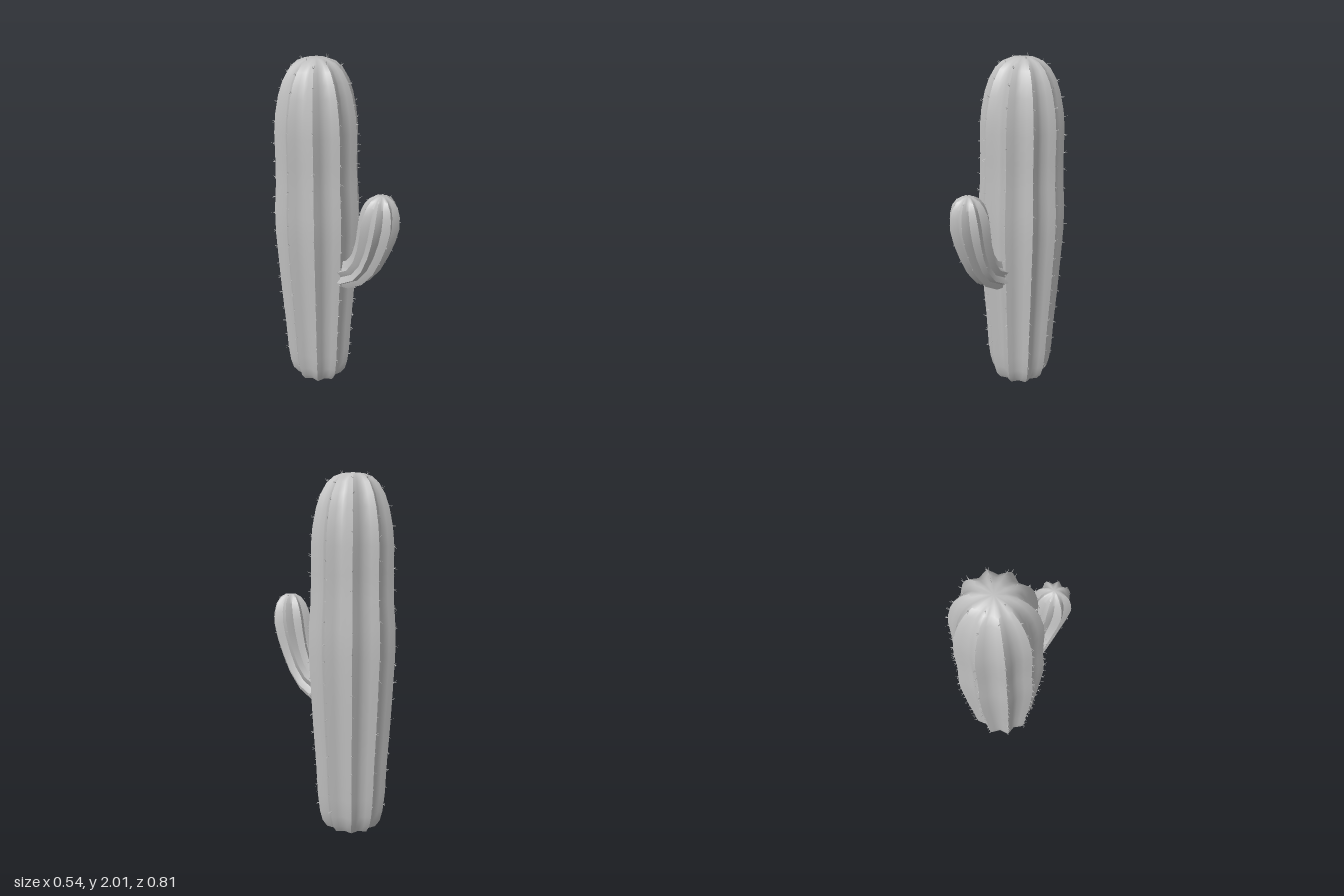
import * as THREE from 'three';
import { mergeGeometries, toCreasedNormals } from 'three/addons/utils/BufferGeometryUtils.js';

const STEPS = 4; // samples across one rib: crest, flank, valley, flank

// Cross-sections along a stem: [z, y, crest radius]
const TRUNK = [
  [-0.145, 0, 0], [-0.145, 0.002, 0.145], [-0.145, 0.04, 0.172], [-0.145, 0.1, 0.188],
  [-0.145, 0.2, 0.2], [-0.145, 0.4, 0.211], [-0.145, 0.6, 0.226], [-0.145, 0.8, 0.238],
  [-0.145, 1.0, 0.249], [-0.145, 1.15, 0.249], [-0.145, 1.3, 0.238], [-0.145, 1.45, 0.235],
  [-0.145, 1.6, 0.235], [-0.145, 1.7, 0.226], [-0.145, 1.8, 0.206], [-0.145, 1.87, 0.182],
  [-0.145, 1.93, 0.147], [-0.145, 1.965, 0.108], [-0.145, 1.983, 0.06], [-0.145, 1.984, 0],
];
const ARM = [
  [0.0, 0.765, 0.085], [0.08, 0.78, 0.09], [0.155, 0.822, 0.088], [0.21, 0.895, 0.092],
  [0.25, 0.99, 0.1], [0.276, 1.08, 0.11], [0.292, 1.16, 0.115], [0.299, 1.22, 0.106],
  [0.302, 1.265, 0.09], [0.302, 1.3, 0.064], [0.302, 1.318, 0.032], [0.302, 1.32, 0],
];

function seeded(seed) {
  return () => {
    seed = (seed * 16807) % 2147483647;
    return seed / 2147483647;
  };
}

// Point on a stem ring; the ring is square to the path, which lies in the yz plane
function ringPoint(rings, i, angle, scale) {
  const a = rings[Math.max(i - 1, 0)], b = rings[Math.min(i + 1, rings.length - 1)];
  const length = Math.hypot(b[0] - a[0], b[1] - a[1]);
  const tz = (b[0] - a[0]) / length, ty = (b[1] - a[1]) / length;
  const [z, y, radius] = rings[i];
  const r = radius * scale, s = Math.sin(angle) * r;
  return new THREE.Vector3(Math.cos(angle) * r, y - tz * s, z + ty * s);
}

// Star-shaped sweep with sharp crests and soft valleys
function ribbedStem(rings, ribs, valley, offset) {
  const sides = ribs * STEPS;
  const scales = [1, 1 - (1 - valley) * 0.58, valley, 1 - (1 - valley) * 0.58];
  const positions = [], index = [];
  rings.forEach((ring, i) => {
    for (let j = 0; j < sides; j++) {
      const angle = offset + (j / sides) * Math.PI * 2;
      positions.push(...ringPoint(rings, i, angle, scales[j % STEPS]).toArray());
    }
  });
  for (let i = 0; i < rings.length - 1; i++) {
    for (let j = 0; j < sides; j++) {
      const k = (j + 1) % sides;
      const a = i * sides + j, c = i * sides + k, b = a + sides, d = c + sides;
      if (rings[i][2] > 0) index.push(a, b, c);
      if (rings[i + 1][2] > 0) index.push(c, b, d);
    }
  }
  const geometry = new THREE.BufferGeometry();
  geometry.setAttribute('position', new THREE.Float32BufferAttribute(positions, 3));
  geometry.setIndex(index);
  return toCreasedNormals(geometry, 0.95);
}

// Clusters of tiny thorns spaced along every crest
function thorns(rings, ribs, offset, first, spacing, size, random) {
  const cones = [], up = new THREE.Vector3(0, 1, 0);
  for (let k = 0; k < ribs; k++) {
    const angle = offset + (k / ribs) * Math.PI * 2;
    let next = spacing * (0.3 + random() * 0.7);
    for (let i = first; i < rings.length - 2; i++) {
      const p = ringPoint(rings, i, angle, 1), q = ringPoint(rings, i + 1, angle, 1);
      const along = q.clone().sub(p), length = along.length();
      const [z, y] = rings[i];
      const out = p.clone().sub(new THREE.Vector3(0, y, z)).normalize();
      along.normalize();
      out.addScaledVector(along, -out.dot(along)).normalize(); // square to the crest
      while (next < length) {
        const root = p.clone().addScaledVector(along, next);
        for (let n = 0; n < 3; n++) {
          const dir = out.clone().add(new THREE.Vector3(
            random() - 0.5, random() - 0.5, random() - 0.5).multiplyScalar(1.3)).normalize();
          const tall = size * (0.7 + random() * 0.6);
          const cone = new THREE.ConeGeometry(size * 0.09, tall, 4, 1, true);
          cone.translate(0, tall * 0.4, 0);
          cone.applyQuaternion(new THREE.Quaternion().setFromUnitVectors(up, dir));
          cone.translate(root.x, root.y, root.z);
          cones.push(cone);
        }
        next += spacing * (0.85 + random() * 0.3);
      }
      next -= length;
    }
  }
  return mergeGeometries(cones);
}

export function createModel() {
  const group = new THREE.Group();
  group.name = 'cactus';
  const skin = new THREE.MeshStandardMaterial({ color: 0xbfbfbf });
  skin.name = 'light grey';
  const random = seeded(71);

  const add = (name, geometry) => {
    const mesh = new THREE.Mesh(geometry, skin);
    mesh.name = name;
    group.add(mesh);
  };

  // Tall ten-ribbed trunk
  add('trunk', ribbedStem(TRUNK, 10, 0.83, 0));
  add('trunkThorns', thorns(TRUNK, 10, 0, 3, 0.105, 0.022, random));

  // Eight-ribbed arm curving up in front
  add('arm', ribbedStem(ARM, 8, 0.74, Math.PI / 8));
  add('armThorns', thorns(ARM, 8, Math.PI / 8, 3, 0.11, 0.012, random));

  return group;
}
